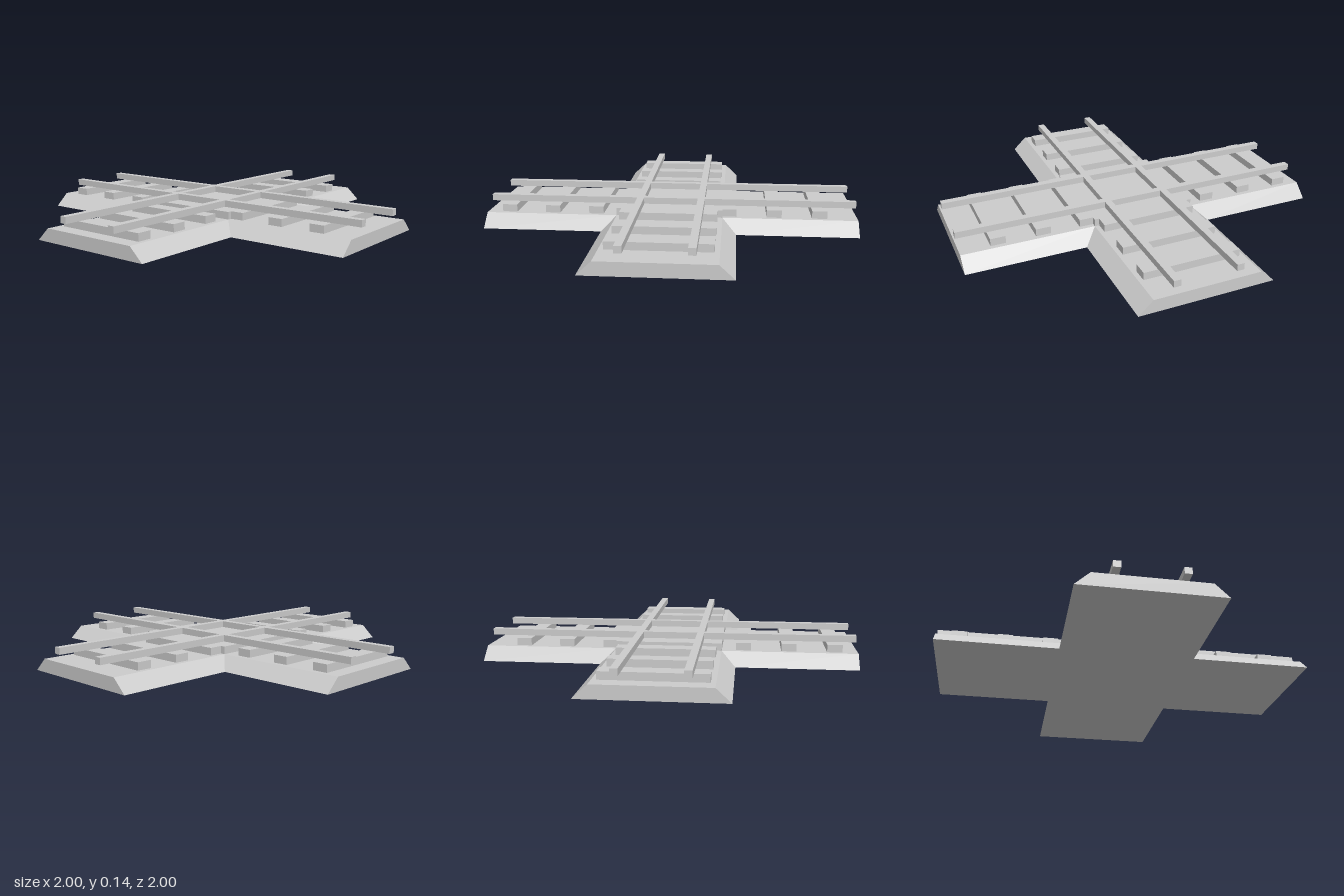
import * as THREE from 'three';

const material = new THREE.MeshStandardMaterial({ color: 0xcccccc });
material.name = 'light grey';

// Cross outline, counterclockwise from above; w is half the arm width
function crossLoop(w, y) {
  const loop = [];
  let corners = [[1, w], [1, -w], [w, -w]];
  for (let k = 0; k < 4; k++) {
    for (const [x, z] of corners) loop.push([x, y, z]);
    corners = corners.map(([x, z]) => [z, -x]);
  }
  return loop;
}

// Ballast bed: cross with sloped flanks and upright ends
function bedGeometry(bottomW, topW, height) {
  const b = crossLoop(bottomW, 0), t = crossLoop(topW, height), tris = [];
  b.forEach((p, i) => {
    const j = (i + 1) % b.length;
    tris.push([0, height, 0], t[i], t[j]);
    tris.push([0, 0, 0], b[j], b[i]);
    tris.push(b[i], b[j], t[j], b[i], t[j], t[i]);
  });
  const g = new THREE.BufferGeometry();
  g.setAttribute('position', new THREE.Float32BufferAttribute(tris.flat(), 3));
  g.computeVertexNormals();
  return g;
}

export function createModel() {
  const model = new THREE.Group();
  model.name = 'railCrossing';

  const add = (name, geometry, x = 0, y = 0, z = 0) => {
    const mesh = new THREE.Mesh(geometry, material);
    mesh.name = name;
    mesh.position.set(x, y, z);
    model.add(mesh);
  };
  const box = (name, w, h, d, x, y, z) => add(name, new THREE.BoxGeometry(w, h, d), x, y, z);

  const bedTop = 0.07, tieTop = 0.11, railTop = 0.145;
  add('ballastBed', bedGeometry(0.36, 0.285, bedTop));

  // Centre deck, level with the sleepers
  const tieH = tieTop - bedTop, tieY = (tieTop + bedTop) / 2;
  box('centreDeck', 0.57, tieH, 0.57, 0, tieY, 0);

  // Sleepers under both tracks, evenly spaced and interrupted by the deck
  for (const p of [-0.88, -0.64, -0.4, 0.32, 0.56, 0.8]) {
    box('sleeperAcross', 0.08, tieH, 0.52, p, tieY, 0);
    box('sleeperAlong', 0.52, tieH, 0.08, 0, tieY, -(-p));
  }
  // The front-to-back track carries the same spacing mirrored end for end
  for (const m of model.children) if (m.name === 'sleeperAlong') m.position.z *= -1;

  // Rails: left-right ones run through, front-back ones are cut between them
  const gauge = 0.166, w = 0.038, railH = railTop - tieTop, railY = (railTop + tieTop) / 2;
  const inner = gauge - w / 2, outer = gauge + w / 2;
  for (const s of [-1, 1]) {
    box('throughRail', 2, railH, w, 0, railY, s * gauge);
    box('innerRail', w, railH, inner * 2, s * gauge, railY, 0);
    for (const e of [-1, 1]) {
      box('endRail', w, railH, 1 - outer, s * gauge, railY, e * (1 + outer) / 2);
    }
  }
  return model;
}
